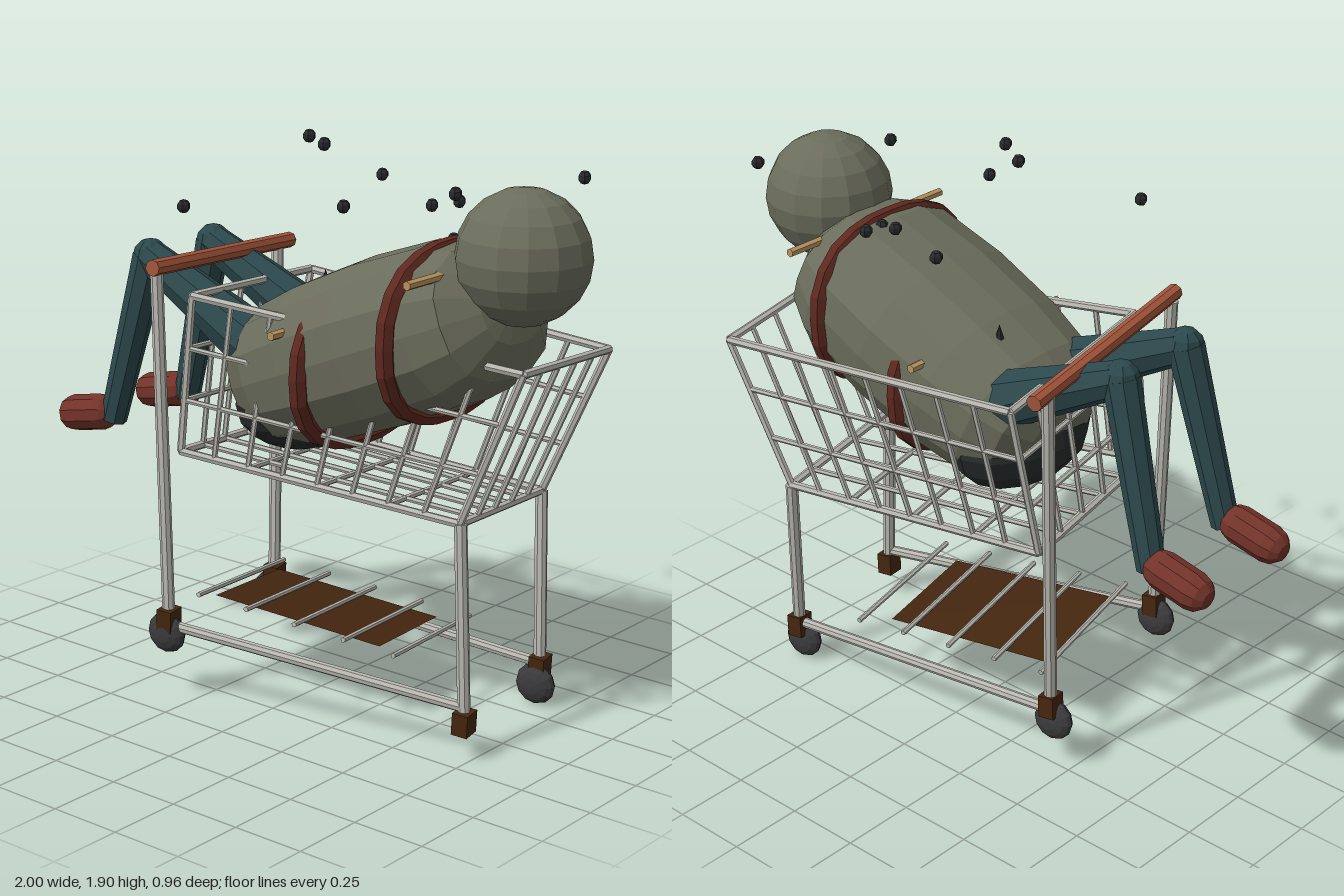
import * as THREE from 'three';

const mat = (name, color, extra = {}) => {
  const m = new THREE.MeshStandardMaterial({ color, flatShading: true, ...extra });
  m.name = name;
  return m;
};
const M = {
  body: mat('oliveGrey', 0x6b6d5c),
  strap: mat('darkRed', 0x5e281f),
  handle: mat('terracotta', 0xa3553a),
  shoe: mat('shoeRed', 0x733329),
  trouser: mat('teal', 0x2c484c),
  wire: mat('metal', 0xb9b8b0),
  bracket: mat('rustBrown', 0x44260f, { side: THREE.DoubleSide }),
  wheel: mat('rubber', 0x3b3b3d),
  dark: mat('charcoal', 0x27292a),
  stick: mat('tan', 0xb8935f),
};
const V = (p) => new THREE.Vector3(...p);
const lerp = (a, b, t) => a.map((v, i) => v + (b[i] - v) * t);
const UP = new THREE.Vector3(0, 1, 0);

function mesh(parent, name, geo, material, pos) {
  const m = new THREE.Mesh(geo, material);
  m.name = name;
  if (pos) m.position.set(...pos);
  parent.add(m);
  return m;
}

// Tapered rod between two points
function rod(parent, name, a, b, r0, r1, material, sides = 8) {
  const d = V(b).sub(V(a));
  const m = mesh(parent, name, new THREE.CylinderGeometry(r1, r0, d.length(), sides), material, lerp(a, b, 0.5));
  m.quaternion.setFromUnitVectors(UP, d.normalize());
  return m;
}

function group(parent, name) {
  const g = new THREE.Group();
  g.name = name;
  parent.add(g);
  return g;
}

// Radius factor that squares off a circle slightly
const POW = 2.5;
const squarish = (a) => Math.pow(Math.abs(Math.cos(a)) ** POW + Math.abs(Math.sin(a)) ** POW, -1 / POW);

// Wire panel over a quad: a-b is one edge, d-c the opposite edge
function panel(parent, name, a, b, c, d, nu, nv) {
  const g = group(parent, name);
  for (let i = 0; i <= nu; i++) {
    const t = i / nu;
    const r = i === 0 || i === nu ? 0.013 : 0.0095;
    rod(g, 'wire', lerp(a, b, t), lerp(d, c, t), r, r, M.wire, 6);
  }
  for (let j = 0; j <= nv; j++) {
    const t = j / nv;
    const r = j === 0 || j === nv ? 0.014 : 0.0095;
    rod(g, 'wire', lerp(a, d, t), lerp(b, c, t), r, r, M.wire, 6);
  }
}

function buildCart(root) {
  const cart = group(root, 'cart');

  // Basket corners: bottom and top, near/far in z, rear at -x
  const bRN = [-0.31, 0.85, 0.34], bRF = [-0.40, 0.80, -0.29];
  const bFN = [0.68, 0.765, 0.155], bFF = [0.60, 0.72, -0.40];
  const tRN = [-0.27, 1.37, 0.32], tRF = [-0.37, 1.32, -0.39];
  const tFN = [0.87, 1.262, 0.105], tFF = [0.80, 1.215, -0.465];
  const basket = group(cart, 'basket');
  panel(basket, 'nearSide', bRN, bFN, tFN, tRN, 8, 3);
  panel(basket, 'farSide', bRF, bFF, tFF, tRF, 8, 3);
  panel(basket, 'frontPanel', bFN, bFF, tFF, tFN, 5, 1);
  panel(basket, 'rearPanel', bRN, bRF, tRF, tRN, 5, 3);
  panel(basket, 'basketFloor', bRN, bRF, bFF, bFN, 5, 4);

  // Posts, brackets and wheels; one front wheel is missing
  const feet = [
    { foot: [-0.33, 0.28, 0.39], top: [-0.39, 1.44, 0.355], wheel: [-0.34, 0.23, 0.39] },
    { foot: [-0.43, 0.235, -0.26], top: [-0.485, 1.40, -0.35], wheel: [-0.435, 0.175, -0.25] },
    { foot: [0.72, 0.125, 0.17], top: [0.68, 0.765, 0.15] },
    { foot: [0.645, 0.135, -0.35], top: [0.60, 0.72, -0.40], wheel: [0.64, 0.075, -0.335] },
  ];
  for (const { foot, top, wheel } of feet) {
    rod(cart, 'post', foot, top, 0.021, 0.021, M.wire);
    mesh(cart, 'bracket', new THREE.BoxGeometry(0.055, 0.075, 0.065), M.bracket, foot).rotation.set(0.05, 0.15, -0.08);
    if (wheel) {
      const w = mesh(cart, 'wheel', new THREE.SphereGeometry(0.071, 12, 8).rotateX(Math.PI / 2), M.wheel, wheel);
      w.scale.z = 0.48;
      w.rotation.set(0.06, 0.12, 0);
    }
  }
  const raise = ([x, y, z], dy) => [x, y + dy, z];
  rod(cart, 'lowerRail', raise(feet[0].foot, -0.02), raise(feet[2].foot, 0.05), 0.018, 0.018, M.wire);
  rod(cart, 'lowerRail', raise(feet[1].foot, -0.02), raise(feet[3].foot, 0.01), 0.018, 0.018, M.wire);
  rod(cart, 'handle', [-0.375, 1.457, 0.39], [-0.49, 1.4, -0.42], 0.027, 0.027, M.handle);

  // Bottom rack with a plate under its wires
  const n0 = [-0.26, 0.36, 0.32], f0 = [-0.36, 0.31, -0.23];
  const n1 = [0.46, 0.29, 0.2], f1 = [0.37, 0.25, -0.33];
  for (let i = 0; i < 5; i++) {
    rod(cart, 'rackWire', lerp(n0, n1, i / 4), lerp(f0, f1, i / 4), 0.009, 0.009, M.wire, 6);
  }
  const at = (t, u) => raise(lerp(lerp(n0, n1, t), lerp(f0, f1, t), u), -0.012);
  const q = [at(0.03, 0.13), at(0.88, 0.13), at(0.88, 0.87), at(0.03, 0.87)];
  const plate = new THREE.BufferGeometry();
  plate.setAttribute('position', new THREE.Float32BufferAttribute(q.flat(), 3));
  plate.setIndex([0, 1, 2, 0, 2, 3]);
  plate.computeVertexNormals();
  mesh(cart, 'rackPlate', plate, M.bracket);
}

function buildFigure(root) {
  const figure = group(root, 'figure');

  // Torso: slightly squared lathe leaning along the basket
  const profile = [[0, -0.53], [0.12, -0.52], [0.2, -0.46], [0.24, -0.36], [0.263, -0.18], [0.272, 0.08],
    [0.258, 0.34], [0.215, 0.455], [0.12, 0.53], [0, 0.55]];
  const geo = new THREE.LatheGeometry(profile.map((p) => new THREE.Vector2(...p)), 16);
  const p = geo.attributes.position;
  for (let i = 0; i < p.count; i++) {
    const k = squarish(Math.atan2(p.getZ(i), p.getX(i)));
    p.setXYZ(i, p.getX(i) * k, p.getY(i), p.getZ(i) * k * 1.24);
  }
  mesh(figure, 'torso', geo, M.body, [0.25, 1.235, -0.005]).rotation.z = -Math.PI / 2 + 0.39;
  mesh(figure, 'head', new THREE.SphereGeometry(0.212, 14, 10), M.body, [0.788, 1.593, 0]);
  const hips = mesh(figure, 'hips', new THREE.SphereGeometry(1, 12, 8), M.dark, [-0.07, 1.01, -0.01]);
  hips.scale.set(0.195, 0.175, 0.28);

  // Straps around the torso
  for (const [x, y, ry, rz] of [[0.175, 1.17, 0.25, 0.325], [0.515, 1.325, 0.262, 0.325]]) {
    const pts = [];
    for (let i = 0; i < 16; i++) {
      const a = (i / 16) * Math.PI * 2;
      const k = squarish(a);
      pts.push(new THREE.Vector3(x, y + Math.sin(a) * ry * k, Math.cos(a) * rz * k));
    }
    const curve = new THREE.CatmullRomCurve3(pts, true);
    mesh(figure, 'strap', new THREE.TubeGeometry(curve, 24, 0.031, 6, true), M.strap);
  }

  // Pegs through the torso
  for (const [x, y] of [[0.085, 1.3], [0.615, 1.54]]) {
    rod(figure, 'peg', [x, y, -0.35], [x, y, 0.35], 0.015, 0.015, M.stick, 6);
  }

  // Legs hanging over the handle end
  for (const s of [-1, 1]) {
    const leg = group(figure, s > 0 ? 'nearLeg' : 'farLeg');
    const hip = [-0.1, 1.18, s * 0.16], knee = [-0.605, 1.425, s * 0.155], ankle = [-0.765, 0.84, s * 0.185];
    rod(leg, 'thigh', hip, knee, 0.1, 0.058, M.trouser);
    mesh(leg, 'knee', new THREE.SphereGeometry(0.06, 8, 6), M.trouser, knee);
    rod(leg, 'shin', ankle, knee, 0.046, 0.06, M.trouser);
    const shoe = mesh(leg, 'shoe', new THREE.CapsuleGeometry(0.063, 0.125, 3, 10), M.shoe, [-0.875, 0.845, s * 0.19]);
    shoe.rotation.z = -Math.PI / 2 + 0.2;
  }
}

// Small pellets floating above the torso
function buildPellets(root) {
  const g = group(root, 'pellets');
  const spots = [[0.02, 1.885, 0.083], [0.15, 1.885, 0.167], [-0.17, 1.695, 0.46], [-0.01, 1.7, -0.325],
    [0.29, 1.72, 0.245], [0.305, 1.66, -0.18], [0.35, 1.665, -0.265], [0.63, 1.785, 0.135],
    [0.47, 1.59, -0.075], [0.795, 1.79, -0.305]];
  for (const s of spots) mesh(g, 'pellet', new THREE.SphereGeometry(0.022, 6, 5), M.dark, s);
  mesh(g, 'spike', new THREE.ConeGeometry(0.027, 0.09, 6), M.dark, [-0.065, 1.37, -0.1]);
}

export function createModel() {
  const root = new THREE.Group();
  root.name = 'figureInCart';
  buildCart(root);
  buildFigure(root);
  buildPellets(root);
  return root;
}
